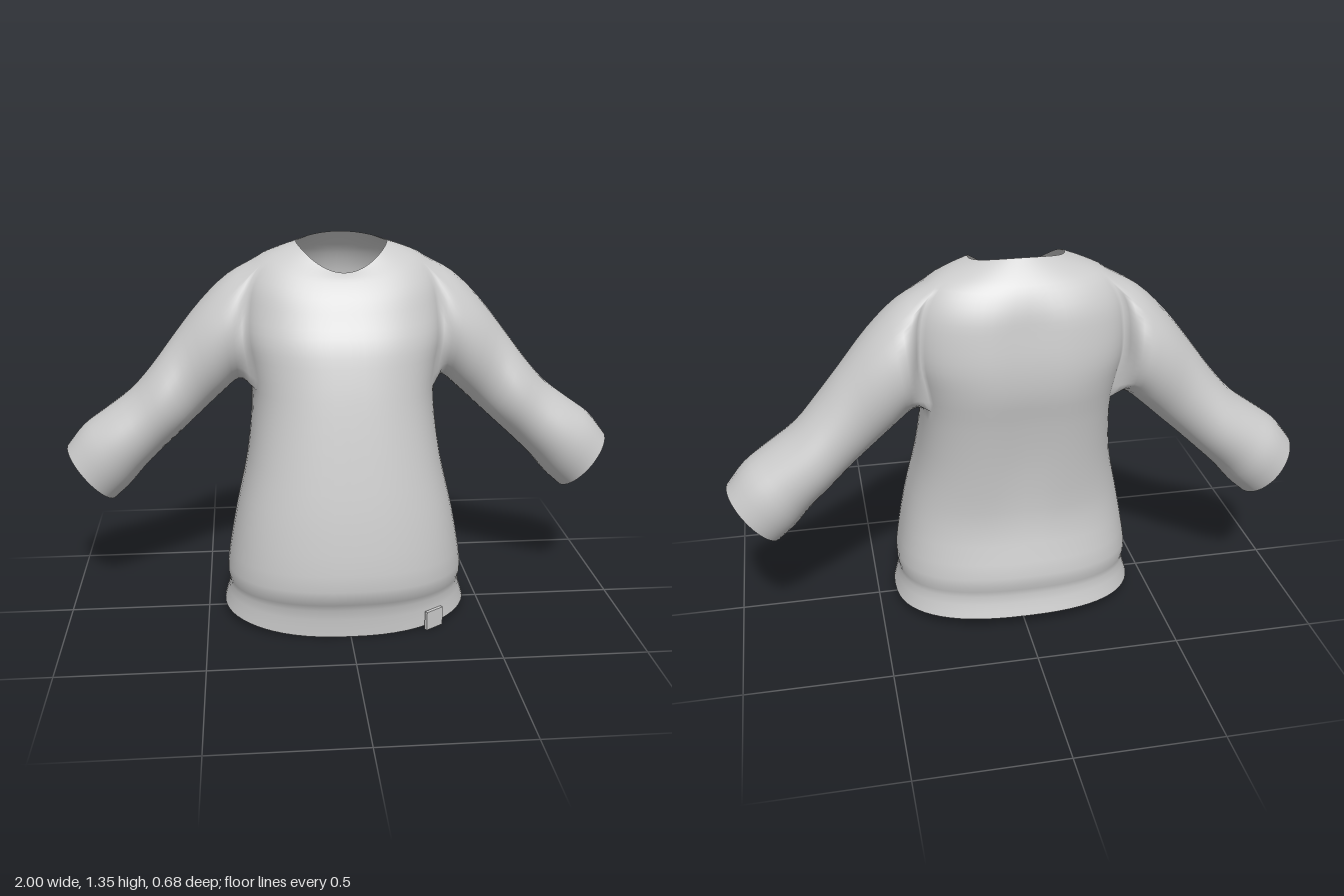
import * as THREE from 'three';

const COLS = 64, SUB = 3;

// Torso rings: y front, y side, y back, half width, z front, z of side, z back, squareness
const RINGS = [
  [0.01, 0.045, 0.06, 0.44, 0.30, 0, -0.32, 2.4],
  [0.115, 0.125, 0.14, 0.42, 0.31, 0, -0.30, 2.4],
  [0.20, 0.20, 0.22, 0.425, 0.345, 0, -0.312, 2.4],
  [0.40, 0.40, 0.40, 0.39, 0.325, 0, -0.272, 2.5],
  [0.60, 0.60, 0.60, 0.345, 0.29, -0.03, -0.285, 2.6],
  [0.80, 0.80, 0.80, 0.325, 0.25, -0.09, -0.315, 2.6],
  [0.92, 0.92, 0.92, 0.34, 0.222, -0.11, -0.34, 2.5],
  [1.02, 1.02, 1.02, 0.36, 0.192, -0.125, -0.345, 2.5],
  [1.10, 1.12, 1.12, 0.36, 0.15, -0.14, -0.335, 2.4],
  [1.17, 1.21, 1.20, 0.345, 0.112, -0.14, -0.32, 2.3],
  [1.22, 1.28, 1.27, 0.30, 0.075, -0.14, -0.285, 2.2],
  [1.24, 1.318, 1.32, 0.225, 0.055, -0.12, -0.245, 2.1],
  [1.25, 1.34, 1.36, 0.16, 0.04, -0.10, -0.205, 2],
];

// Sleeve rings: top x, top y, bottom x, bottom y, z front, z back
const SLEEVE = [
  [0.40, 1.225, 0.37, 0.845, 0.015, -0.30],
  [0.50, 1.13, 0.425, 0.80, 0.01, -0.30],
  [0.60, 1.005, 0.50, 0.73, -0.01, -0.28],
  [0.68, 0.90, 0.57, 0.665, 0.005, -0.28],
  [0.76, 0.81, 0.65, 0.59, 0.0, -0.29],
  [0.86, 0.735, 0.72, 0.52, 0.005, -0.29],
  [0.935, 0.68, 0.775, 0.455, 0.0, -0.29],
  [1.00, 0.60, 0.835, 0.40, -0.015, -0.275],
];

// Armhole in the torso grid
const HOLE = { low: 5 * SUB + 1, high: 10 * SUB, half: 4 };
const ROWS = (RINGS.length - 1) * SUB + 1;

// Smooth interpolation of the ring parameters
function ringAt(t) {
  const i = Math.min(Math.floor(t), RINGS.length - 2), f = t - i;
  const key = (k) => RINGS[THREE.MathUtils.clamp(k, 0, RINGS.length - 1)];
  return RINGS[0].map((_, n) => {
    const [a, b, c, d] = [key(i - 1)[n], key(i)[n], key(i + 1)[n], key(i + 2)[n]];
    return b + 0.5 * f * (c - a + f * (2 * a - 5 * b + 4 * c - d + f * (3 * (b - c) + d - a)));
  });
}

function torsoPoint(row, col) {
  const [yF, yS, yB, w, zF, zC, zB, n] = ringAt(row / SUB);
  const a = (col / COLS) * Math.PI * 2;
  const c = Math.cos(a), s = Math.sin(a);
  const x = w * Math.sign(c) * Math.abs(c) ** (2 / n);
  const d = Math.abs(s) ** (2 / n);
  const y = yS + ((s > 0 ? yF : yB) - yS) * s * s;
  let z = zC + ((s > 0 ? zF : zB) - zC) * d;
  // shallow groove down the spine
  const fade = THREE.MathUtils.smoothstep(y, 0.3, 0.7) * (1 - THREE.MathUtils.smoothstep(y, 1.15, 1.3));
  if (s < 0) z += 0.016 * fade * Math.exp(-((x / 0.09) ** 2));
  return new THREE.Vector3(x, y, z);
}

export function createModel() {
  const group = new THREE.Group();
  group.name = 'sweater';
  const material = new THREE.MeshStandardMaterial({ color: 0xcccccc, side: THREE.DoubleSide });
  const positions = [];
  const faces = { body: [], hemBand: [], leftSleeve: [], rightSleeve: [], leftCuff: [], rightCuff: [] };

  const quad = (list, a, b, c, d, flip) =>
    flip ? list.push(a, d, b, b, d, c) : list.push(a, b, d, b, c, d);
  const vertex = (row, col) => row * COLS + ((col + COLS) % COLS);

  // Torso grid, leaving out the two armholes
  for (let r = 0; r < ROWS; r++)
    for (let c = 0; c < COLS; c++) positions.push(...torsoPoint(r, c).toArray());

  const inHole = (r, c) => {
    if (r < HOLE.low || r >= HOLE.high) return false;
    return [0, COLS / 2, COLS].some((mid) => c >= mid - HOLE.half && c < mid + HOLE.half);
  };
  for (let r = 0; r < ROWS - 1; r++)
    for (let c = 0; c < COLS; c++) {
      if (inHole(r, c)) continue;
      const list = r < SUB ? faces.hemBand : faces.body;
      quad(list, vertex(r, c), vertex(r + 1, c), vertex(r + 1, c + 1), vertex(r, c + 1));
    }

  // Armhole edge as a loop of [row, column]
  const { low, high, half } = HOLE;
  const edge = [];
  for (let c = -half; c < half; c++) edge.push([low, c]);
  for (let r = low; r < high; r++) edge.push([r, half]);
  for (let c = half; c > -half; c--) edge.push([high, c]);
  for (let r = high; r > low; r--) edge.push([r, -half]);

  // Each strand runs from the armhole edge through the sleeve rings to the cuff
  const strands = edge.map(([r, c]) => {
    const start = torsoPoint(r, c);
    const v = ((r - low) / (high - low)) * 2 - 1;
    const phi = Math.atan2(c / half, v);
    const keys = SLEEVE.map(([tx, ty, bx, by, zF, zB]) => {
      const k = Math.cos(phi) / 2;
      return new THREE.Vector3(
        (tx + bx) / 2 + (tx - bx) * k,
        (ty + by) / 2 + (ty - by) * k,
        (zF + zB) / 2 + ((zF - zB) / 2) * Math.sin(phi));
    });
    return new THREE.CatmullRomCurve3([start, ...keys]);
  });

  // Sleeves, sewn to the torso so the shading flows across the shoulder
  const loops = SLEEVE.length * SUB;
  for (const side of [1, -1]) {
    const name = side > 0 ? 'left' : 'right';
    let previous = edge.map(([r, c]) => vertex(r, side > 0 ? c : COLS / 2 - c));
    for (let l = 1; l <= loops; l++) {
      const current = strands.map((strand) => {
        const p = strand.getPoint(l / loops);
        positions.push(p.x * side, p.y, p.z);
        return positions.length / 3 - 1;
      });
      const list = faces[name + (l > loops - SUB ? 'Cuff' : 'Sleeve')];
      for (let i = 0; i < edge.length; i++) {
        const j = (i + 1) % edge.length;
        quad(list, previous[i], current[i], current[j], previous[j], side < 0);
      }
      previous = current;
    }
  }

  // Shared smooth normals, then one mesh per garment part
  const whole = new THREE.BufferGeometry();
  whole.setAttribute('position', new THREE.Float32BufferAttribute(positions, 3));
  whole.setIndex(Object.values(faces).flat());
  whole.computeVertexNormals();
  for (const [name, index] of Object.entries(faces)) {
    const geometry = new THREE.BufferGeometry();
    geometry.setAttribute('position', whole.getAttribute('position'));
    geometry.setAttribute('normal', whole.getAttribute('normal'));
    geometry.setIndex(index);
    const mesh = new THREE.Mesh(geometry, material);
    mesh.name = name;
    group.add(mesh);
  }

  // Small plain tab on the hem
  const tab = new THREE.Mesh(new THREE.BoxGeometry(0.075, 0.068, 0.012), material);
  tab.name = 'hemTab';
  tab.position.set(0.3, 0.045, 0.25);
  tab.rotation.y = 0.6;
  group.add(tab);

  return group;
}
